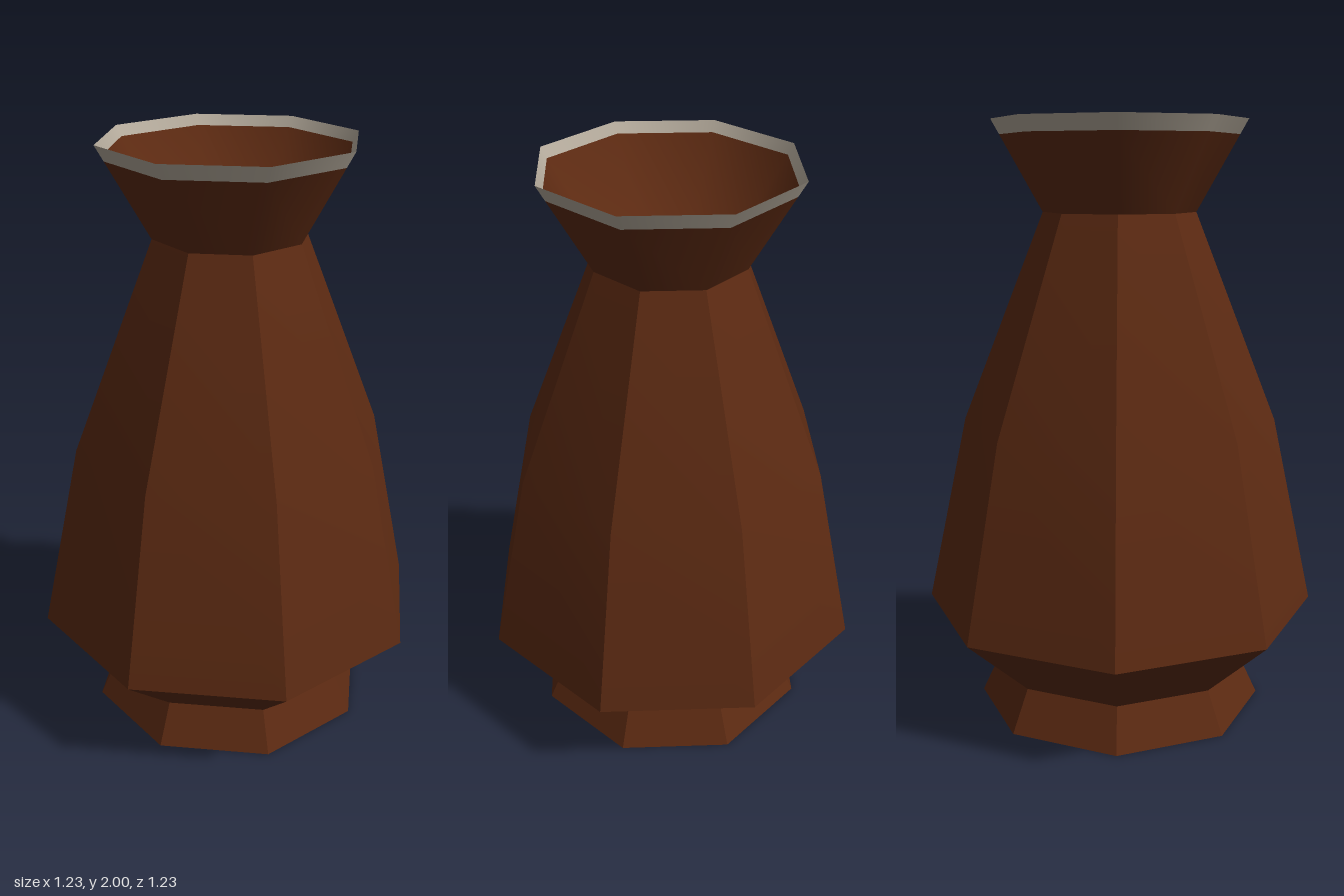
import * as THREE from 'three';
import { toCreasedNormals } from 'three/addons/utils/BufferGeometryUtils.js';

const SIDES = 8;

export function createModel() {
  const vase = new THREE.Group();
  vase.name = 'vase';

  const clay = new THREE.MeshStandardMaterial({ color: 0x5c2a12, side: THREE.DoubleSide });
  clay.name = 'brownClay';
  const glaze = new THREE.MeshStandardMaterial({ color: 0xb5ab9c, side: THREE.DoubleSide });
  glaze.name = 'paleGlaze';

  // Octagonal ring section from [flat-to-centre distance, height] pairs
  function section(name, profile, material, faceted) {
    const points = profile.map(([r, y]) => new THREE.Vector2(r / Math.cos(Math.PI / SIDES), y));
    let geometry = new THREE.LatheGeometry(points, SIDES, Math.PI / SIDES);
    if (faceted) geometry = toCreasedNormals(geometry, 0.6);
    const mesh = new THREE.Mesh(geometry, material);
    mesh.name = name;
    vase.add(mesh);
  }

  // Hollow outer shell, open underneath
  section('foot', [[0.453, 0], [0.393, 0.14]], clay, true);
  section('lowerBelly', [[0.393, 0.14], [0.617, 0.36]], clay, false);
  section('body', [[0.617, 0.36], [0.49, 1.0], [0.235, 1.7]], clay, true);
  section('neck', [[0.235, 1.7], [0.364, 1.95]], clay, false);
  section('rim', [[0.364, 1.95], [0.39, 2]], glaze, false);

  // Shallow bowl closing the mouth
  section('mouthBowl', [[0.372, 1.966], [0.222, 1.73], [0, 1.73]], clay, false);

  return vase;
}
